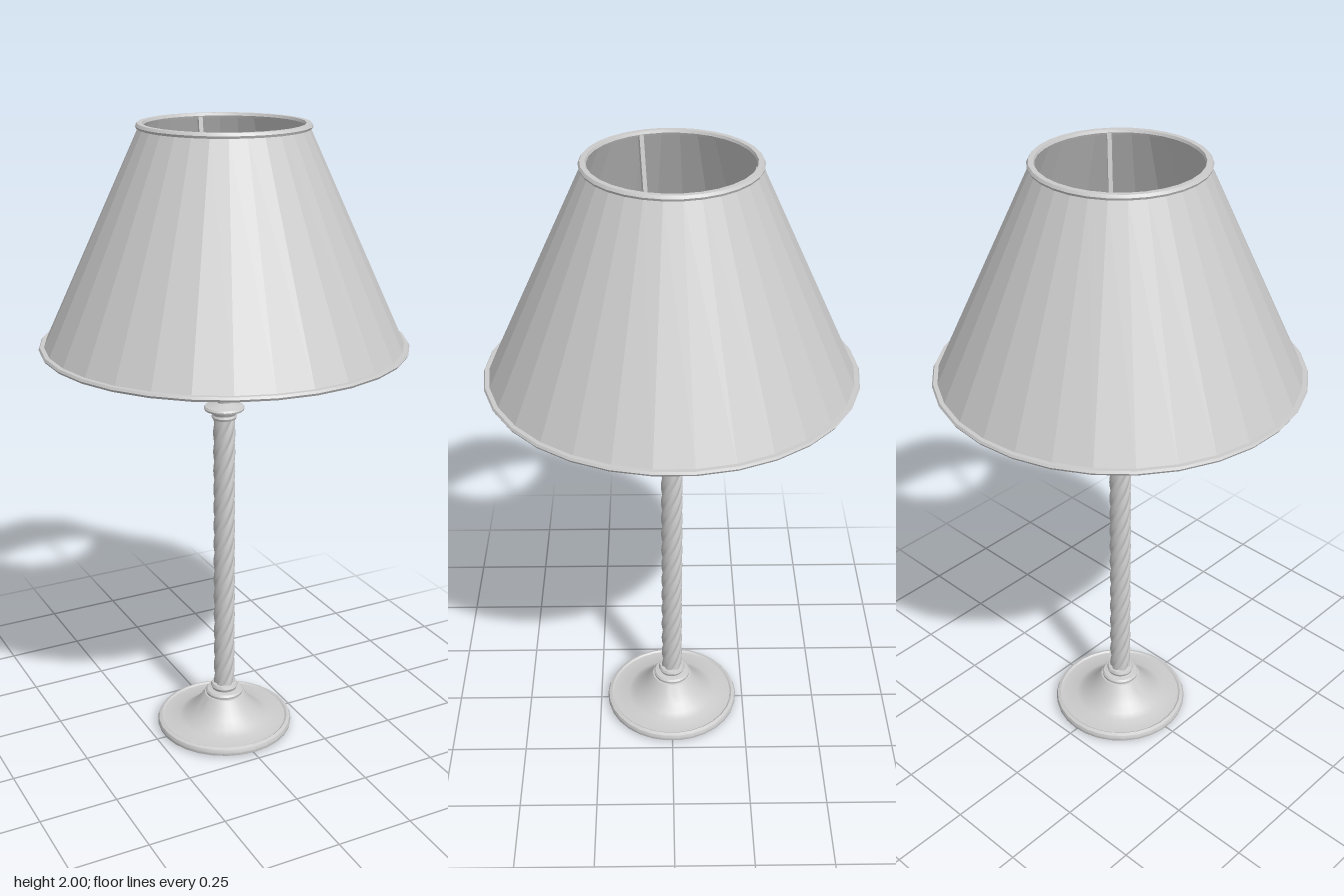
import * as THREE from 'three';
import { toCreasedNormals } from 'three/addons/utils/BufferGeometryUtils.js';

const SIDES = 30;
const grey = new THREE.MeshStandardMaterial({ color: 0xcccccc });
const faceted = new THREE.MeshStandardMaterial({ color: 0xcccccc, flatShading: true, side: THREE.DoubleSide });

// Turned part from [radius, height] pairs, listed bottom to top.
function turned(name, profile, material = grey) {
  const points = profile.map(([r, y]) => new THREE.Vector2(r, y));
  const lathe = new THREE.LatheGeometry(points, SIDES);
  const mesh = new THREE.Mesh(material === grey ? toCreasedNormals(lathe, 0.6) : lathe, material);
  mesh.name = name;
  return mesh;
}

// Column of spiralling rounded strands.
function twistedColumn(y0, y1, radius, depth, strands, turns) {
  const geometry = new THREE.CylinderGeometry(1, 1, y1 - y0, 48, 120, true);
  geometry.translate(0, (y0 + y1) / 2, 0);
  const p = geometry.attributes.position;
  for (let i = 0; i < p.count; i++) {
    const y = p.getY(i);
    const angle = Math.atan2(p.getX(i), p.getZ(i));
    const twist = ((y - y0) / (y1 - y0)) * turns * Math.PI * 2;
    const r = radius - depth + 2 * depth * Math.abs(Math.cos((strands * (angle - twist)) / 2));
    p.setXYZ(i, r * Math.sin(angle), y, r * Math.cos(angle));
  }
  geometry.computeVertexNormals();
  const mesh = new THREE.Mesh(geometry, grey);
  mesh.name = 'twistedColumn';
  return mesh;
}

// Straight square bar between two points.
function bar(name, a, b, width) {
  const mesh = new THREE.Mesh(new THREE.BoxGeometry(width, width, a.distanceTo(b)), grey);
  mesh.position.copy(a).add(b).multiplyScalar(0.5);
  mesh.lookAt(b);
  mesh.name = name;
  return mesh;
}

export function createModel() {
  const lamp = new THREE.Group();
  lamp.name = 'tableLamp';

  // Foot: rimmed disc sweeping up to the column collar
  lamp.add(turned('base', [
    [0, 0.003], [0.215, 0.003], [0.224, 0.008], [0.226, 0.018], [0.222, 0.028], [0.212, 0.032],
    [0.206, 0.028], [0.152, 0.03], [0.13, 0.043], [0.107, 0.063], [0.085, 0.089], [0.066, 0.117],
    [0.061, 0.118], [0.062, 0.126], [0.057, 0.132], [0.041, 0.135], [0.045, 0.145],
    [0.041, 0.154], [0.03, 0.156],
  ]));
  const underside = turned('underside', [[0, 0], [0.212, 0], [0.218, 0.005]]);
  lamp.add(underside);

  lamp.add(twistedColumn(0.15, 1.105, 0.032, 0.003, 6, 2.5));

  // Cap of the column and the thin neck above it
  lamp.add(turned('columnCap', [
    [0.03, 1.092], [0.037, 1.095], [0.04, 1.102], [0.037, 1.109], [0.04, 1.117], [0.047, 1.124],
    [0.062, 1.125], [0.064, 1.131], [0.06, 1.137], [0.035, 1.142], [0.022, 1.148], [0, 1.148],
  ]));
  lamp.add(turned('neck', [[0.022, 1.14], [0.022, 1.28]]));

  // Bulb holder with a collar that carries the shade arms
  lamp.add(turned('bulbHolder', [
    [0, 1.274], [0.026, 1.274], [0.034, 1.278], [0.039, 1.29], [0.04, 1.305], [0.055, 1.308],
    [0.057, 1.315], [0.057, 1.336], [0.062, 1.338], [0.062, 1.352], [0.055, 1.354],
    [0.052, 1.392], [0.042, 1.397], [0, 1.397],
  ]));

  // Bulb: neck running tangentially into a sphere
  const bulb = [[0.038, 1.39], [0.041, 1.405]];
  for (let i = 0; i <= 16; i++) {
    const a = -0.95 + (i / 16) * (Math.PI / 2 + 0.95);
    bulb.push([0.08 * Math.cos(a), 1.484 + 0.08 * Math.sin(a)]);
  }
  lamp.add(turned('bulb', bulb));

  // Three bent arms from the holder to the top rim of the shade
  const arms = new THREE.Group();
  arms.name = 'shadeArms';
  for (let i = 0; i < 3; i++) {
    const angle = 0.895 + (i * Math.PI * 2) / 3;
    const at = (r, y) => new THREE.Vector3(r * Math.sin(angle), y, r * Math.cos(angle));
    arms.add(bar('innerArm', at(0.05, 1.345), at(0.137, 1.345), 0.013));
    arms.add(bar('upright', at(0.131, 1.342), at(0.238, 1.99), 0.013));
  }
  lamp.add(arms);

  // Faceted conical shade with a hoop at each end
  lamp.add(turned('shade', [[0.55, 1.342], [0.247, 1.992]], faceted));
  lamp.add(turned('bottomHoop', [
    [0.545, 1.334], [0.56, 1.334], [0.564, 1.341], [0.56, 1.348], [0.543, 1.348], [0.541, 1.341], [0.545, 1.334],
  ]));
  lamp.add(turned('topHoop', [
    [0.238, 1.985], [0.255, 1.985], [0.258, 1.992], [0.253, 2], [0.238, 2], [0.235, 1.992], [0.238, 1.985],
  ]));

  return lamp;
}
